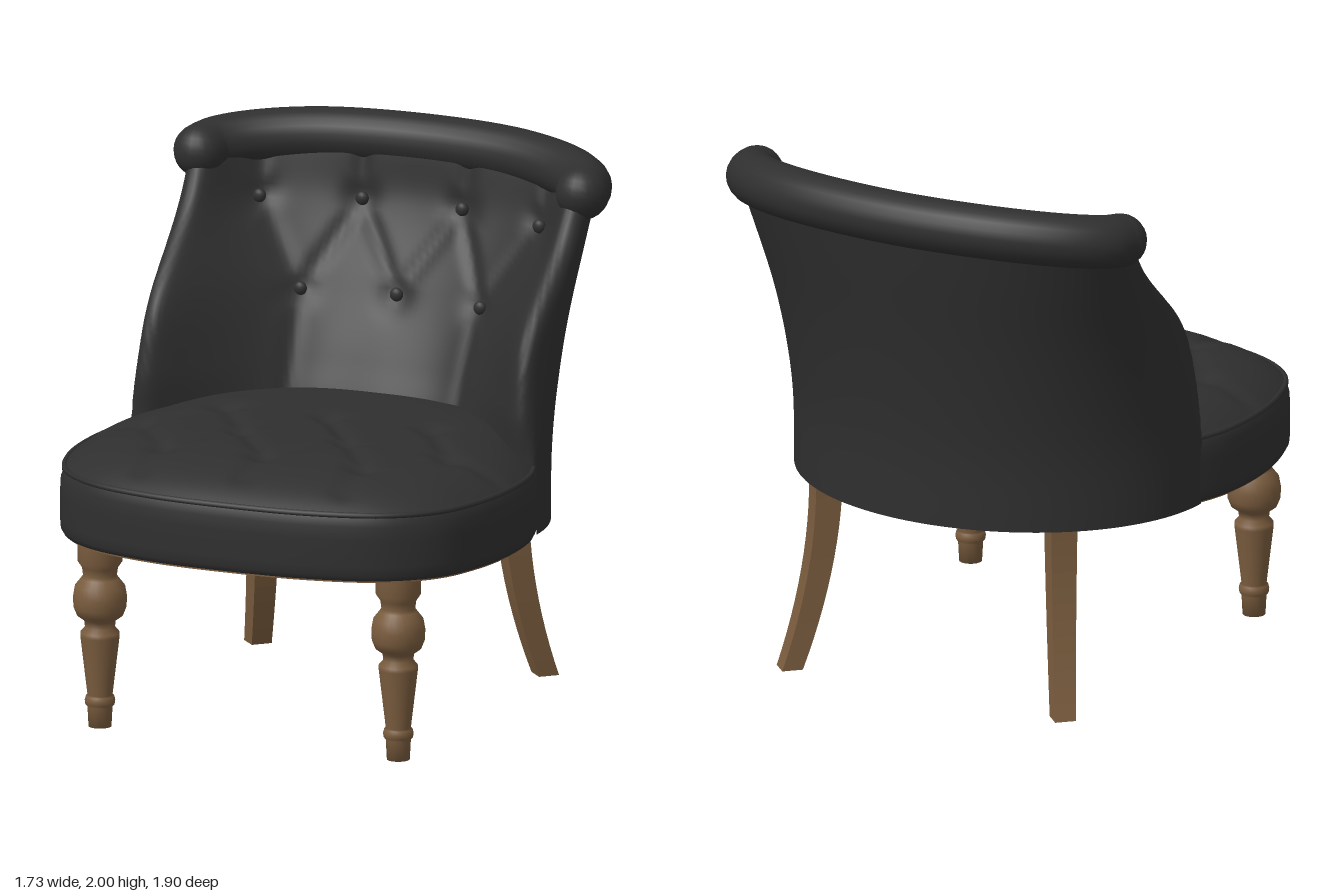
import * as THREE from 'three';

const fabric = new THREE.MeshStandardMaterial({ color: 0x2f2f2f, side: THREE.DoubleSide });
fabric.name = 'charcoalFabric';
const wood = new THREE.MeshStandardMaterial({ color: 0x7a5c3e });
wood.name = 'brownWood';
const lining = new THREE.MeshStandardMaterial({ color: 0x1c1c1c });
lining.name = 'blackLining';

const V = (x, y, z) => new THREE.Vector3(x, y, z);

function add(group, name, geometry, material) {
  const mesh = new THREE.Mesh(geometry, material);
  mesh.name = name;
  group.add(mesh);
  return mesh;
}

// Skin a list of equally long point rows
function loft(rows, wrap = false) {
  const n = rows[0].length, pos = [], idx = [];
  rows.forEach(r => r.forEach(p => pos.push(p.x, p.y, p.z)));
  for (let i = 0; i < rows.length - 1; i++) {
    for (let j = 0; j < (wrap ? n : n - 1); j++) {
      const a = i * n + j, b = i * n + (j + 1) % n;
      idx.push(a, b, a + n, b, b + n, a + n);
    }
  }
  const g = new THREE.BufferGeometry();
  g.setAttribute('position', new THREE.Float32BufferAttribute(pos, 3));
  g.setIndex(idx);
  g.computeVertexNormals();
  return g;
}

// Depth of the tufting at (x, y): grooves along segments, dimples at buttons
function tuft(x, y, segments, buttons) {
  let d = 0;
  for (const [ax, ay, bx, by] of segments) {
    const dx = bx - ax, dy = by - ay;
    const t = Math.min(1, Math.max(0, ((x - ax) * dx + (y - ay) * dy) / (dx * dx + dy * dy)));
    const q = Math.hypot(x - ax - t * dx, y - ay - t * dy) / 0.032;
    d = Math.max(d, 0.015 * Math.exp(-q * q));
  }
  for (const [bx, by] of buttons) {
    const q = Math.hypot(x - bx, y - by) / 0.06;
    d = Math.max(d, 0.03 * Math.exp(-q * q));
  }
  return d;
}
const mirrored = list => [...list, ...list.map(([a, b, c, d]) => [-a, b, -c, d])];

// Seat outline in plan, scaled about its middle
const half = [[0.33, 0.93], [0.6, 0.85], [0.76, 0.71], [0.84, 0.5], [0.865, 0.3], [0.853, 0.1],
  [0.825, 0], [0.797, -0.07], [0.775, -0.15], [0.68, -0.37], [0.41, -0.6]];
const outline = new THREE.CatmullRomCurve3([
  V(0, 0, 0.95), ...half.map(([x, z]) => V(x, 0, z)),
  V(0, 0, -0.705), ...half.slice().reverse().map(([x, z]) => V(-x, 0, z)),
], true).getSpacedPoints(160).slice(0, 160);
const ringAt = (s, y) => outline.map(p => V(p.x * s, y, 0.12 + (p.z - 0.12) * s));

function buildSeat(group) {
  const band = [[0.965, 0.69], [0.985, 0.695], [0.997, 0.715], [1, 0.75], [1, 0.85], [0.997, 0.9], [0.985, 0.93], [0.975, 0.945]];
  add(group, 'seatBand', loft(band.map(([s, y]) => ringAt(s, y)), true), fabric);

  const piping = new THREE.CatmullRomCurve3(ringAt(0.983, 0.942), true);
  add(group, 'seatPiping', new THREE.TubeGeometry(piping, 160, 0.011, 6, true), fabric);

  // Domed cushion with diamond tufting
  const buttons = mirrored([[0, 0.02], [0.41, 0.02], [0.21, 0.32], [0.61, 0.32], [0, 0.6], [0.4, 0.6]]);
  const grooves = mirrored([
    [0, 0.02, 0.21, 0.32], [0.21, 0.32, 0.41, 0.02], [0.41, 0.02, 0.61, 0.32],
    [0, 0.6, 0.21, 0.32], [0.21, 0.32, 0.4, 0.6], [0.4, 0.6, 0.61, 0.32],
    [0.61, 0.32, 0.8, 0.32], [0.4, 0.6, 0.4, 0.8], [0, 0.6, 0, 0.8],
  ]);
  const rows = [];
  for (let i = 0; i <= 44; i++) {
    const s = 0.98 * (1 - i / 44) + 0.001;
    const row = ringAt(s, 0);
    row.forEach(p => { p.y = 0.945 + 0.118 * (1 - (s / 0.981) ** 6) - tuft(p.x, p.z, grooves, buttons); });
    rows.push(row);
  }
  add(group, 'seatCushion', loft(rows, true), fabric);

  // Wooden frame and lining below
  const slab = (outer, inner, y, h) => {
    const flat = s => ringAt(s, 0).map(p => new THREE.Vector2(p.x, -p.z));
    const shape = new THREE.Shape(flat(outer));
    if (inner) shape.holes.push(new THREE.Path(flat(inner)));
    return new THREE.ExtrudeGeometry(shape, { depth: h, bevelEnabled: false }).rotateX(-Math.PI / 2).translate(0, y, 0);
  };
  add(group, 'seatFrame', slab(0.975, 0.925, 0.687, 0.03), wood);
  add(group, 'seatLining', slab(0.94, 0, 0.7, 0.01), lining);
}

// Back sections: y, half width, shell front z, shell rear z, pad front z, pad inner x and z, pad middle z
const sections = [
  [0.69, 0.81, -0.03, -0.73, 0, 0.36, -0.34, -0.36],
  [0.95, 0.81, -0.04, -0.735, 0, 0.35, -0.34, -0.36],
  [1.15, 0.802, -0.12, -0.755, 0.005, 0.34, -0.41, -0.45],
  [1.4, 0.793, -0.27, -0.795, -0.08, 0.4, -0.505, -0.585],
  [1.69, 0.795, -0.47, -0.855, -0.37, 0.56, -0.605, -0.73],
  [1.87, 0.8, -0.59, -0.89, -0.49, 0.58, -0.67, -0.765],
];
function sectionAt(y) {
  let i = 0;
  while (i < sections.length - 2 && y > sections[i + 1][0]) i++;
  const at = k => sections[Math.min(sections.length - 1, Math.max(0, k))];
  const [p, a, b, n] = [at(i - 1), at(i), at(i + 1), at(i + 2)];
  const h = b[0] - a[0], t = (y - a[0]) / h;
  // Smooth interpolation between neighbouring sections
  return a.map((v, k) => {
    const m0 = (b[k] - p[k]) / (b[0] - p[0]) * h, m1 = (n[k] - v) / (n[0] - a[0]) * h;
    return v * (1 + 2 * t) * (1 - t) ** 2 + m0 * t * (1 - t) ** 2 + b[k] * t * t * (3 - 2 * t) + m1 * t * t * (t - 1);
  });
}

function buildBack(group) {
  const buttons = mirrored([[0.2, 1.69], [0.56, 1.69], [0, 1.38], [0.36, 1.38]]);
  const grooves = mirrored([
    [0.56, 1.69, 0.36, 1.38], [0.36, 1.38, 0.2, 1.69], [0.2, 1.69, 0, 1.38],
    [0.56, 1.69, 0.59, 1.95], [0.2, 1.69, 0.22, 1.95], [0.36, 1.38, 0.34, 1],
  ]);
  const shell = [], pad = [];
  for (let i = 0; i <= 50; i++) {
    const y = 0.69 + 1.18 * i / 50;
    const [, xs, zs, zb, zf, xm, zm, zi] = sectionAt(y);
    const arc = [];
    for (let j = 0; j <= 64; j++) {
      const a = Math.PI * (j / 64 - 0.5);
      arc.push(V(xs * Math.sin(a), y, zs + (zb - zs) * Math.cos(a)));
    }
    shell.push(arc);
    if (y < 0.88) continue;
    const side = [[xs, zs], [xs - 0.003, zs + (zf - zs) * 0.55], [xs - 0.03, zf - 0.012], [xs - 0.07, zf - 0.012], [xm, zm]];
    const curve = new THREE.CatmullRomCurve3([
      ...side.map(([x, z]) => V(-x, y, z)), V(0, y, zi), ...side.reverse().map(([x, z]) => V(x, y, z)),
    ]);
    const row = curve.getSpacedPoints(110);
    row.forEach(p => { p.z -= tuft(p.x, y, grooves, buttons); });
    pad.push(row);
  }
  add(group, 'backShell', loft(shell), fabric);
  add(group, 'backPadding', loft(pad), fabric);

  // Buttons rest on the padding
  const points = pad.flat();
  const seen = new Set();
  for (const [x, y] of buttons) {
    if (seen.has(x + ',' + y)) continue;
    seen.add(x + ',' + y);
    const near = points.reduce((m, p) => (Math.hypot(p.x - x, p.y - y) < Math.hypot(m.x - x, m.y - y) ? p : m));
    const button = add(group, 'backButton', new THREE.SphereGeometry(0.026, 14, 10), fabric);
    button.scale.z = 0.7;
    button.position.set(x, y, near.z + 0.012);
  }

  // Rolled top edge with rounded ends
  const path = [[0.4, 1.896, -0.805], [0.64, 1.88, -0.705], [0.745, 1.865, -0.61], [0.765, 1.855, -0.545]];
  const roll = new THREE.CatmullRomCurve3([
    ...path.slice().reverse().map(([x, y, z]) => V(-x, y, z)), V(0, 1.9, -0.85), ...path.map(p => V(...p)),
  ]);
  add(group, 'topRoll', new THREE.TubeGeometry(roll, 80, 0.099, 20), fabric);
  for (const s of [-1, 1]) {
    const end = add(group, 'topRollEnd', new THREE.SphereGeometry(0.099, 20, 14), fabric);
    end.position.set(s * 0.765, 1.855, -0.545);
  }
}

function buildLegs(group) {
  // Turned front legs
  const profile = [[0, 0], [0.042, 0], [0.046, 0.075], [0.054, 0.085], [0.056, 0.1], [0.052, 0.115], [0.046, 0.12],
    [0.072, 0.34], [0.072, 0.355], [0.055, 0.375], [0.058, 0.4], [0.085, 0.42], [0.097, 0.45], [0.099, 0.49],
    [0.092, 0.53], [0.07, 0.558], [0.062, 0.57], [0.066, 0.6], [0.083, 0.625], [0.083, 0.7]];
  const turned = new THREE.LatheGeometry(profile.map(([r, y]) => new THREE.Vector2(r, y)), 28);
  // Square rear legs, tapered and sweeping outwards
  const swept = new THREE.BoxGeometry(1, 0.71, 1, 1, 12, 1).rotateY(Math.PI / 4).translate(0, 0.355, 0);
  const pos = swept.attributes.position;
  for (let i = 0; i < pos.count; i++) {
    const y = pos.getY(i), t = 1 - y / 0.71, w = 0.1 - 0.022 * t, k = t ** 1.9;
    pos.setXYZ(i, pos.getX(i) * w + 0.08 * k, y, pos.getZ(i) * w - 0.125 * k);
  }
  const sharp = swept.toNonIndexed();
  sharp.computeVertexNormals();
  for (const s of [-1, 1]) {
    add(group, 'frontLeg', turned, wood).position.set(s * 0.597, 0, 0.73);
    const rear = add(group, 'rearLeg', sharp, wood);
    rear.position.set(s * 0.495, 0, -0.51);
    rear.scale.x = s;
  }
}

export function createModel() {
  const chair = new THREE.Group();
  chair.name = 'tuftedChair';
  buildSeat(chair);
  buildBack(chair);
  buildLegs(chair);
  return chair;
}
